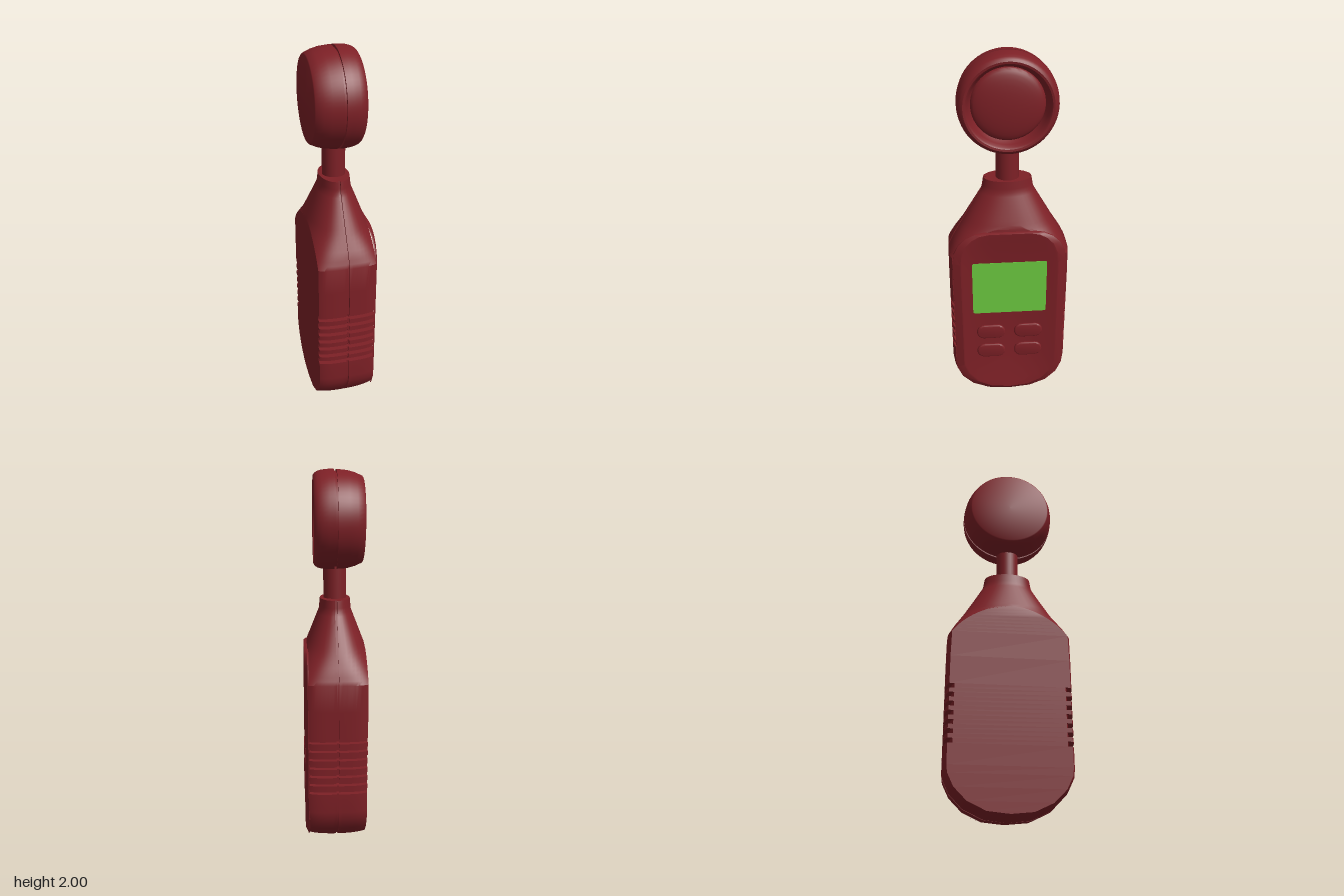
import * as THREE from 'three';
import { toCreasedNormals } from 'three/addons/utils/BufferGeometryUtils.js';

const SEAM = -0.007; // x of the split line between the two shells
const red = new THREE.MeshStandardMaterial({ color: 0x7d2026 });
const green = new THREE.MeshStandardMaterial({ color: 0x6cc940 });

// Piecewise linear lookup in a list of [key, value]
function lookup(table, t) {
  for (let i = 1; i < table.length; i++) {
    const [k0, v0] = table[i - 1], [k1, v1] = table[i];
    if (t <= k1) return v0 + (v1 - v0) * Math.max(0, (t - k0) / (k1 - k0));
  }
  return table[table.length - 1][1];
}

// Skin a stack of equal-length closed rings and close the last one
function loft(rings, crease) {
  const n = rings[0].length, pos = [], idx = [];
  rings.forEach(r => r.forEach(p => pos.push(...p)));
  for (let j = 0; j + 1 < rings.length; j++) {
    for (let i = 0; i < n; i++) {
      const a = j * n + i, b = j * n + (i + 1) % n;
      idx.push(a, a + n, b, b, a + n, b + n);
    }
  }
  const last = rings[rings.length - 1], base = pos.length / 3 - n;
  pos.push(...[0, 1, 2].map(k => last.reduce((s, p) => s + p[k], 0) / n));
  for (let i = 0; i < n; i++) idx.push(base + n, base + (i + 1) % n, base + i);
  const g = new THREE.BufferGeometry();
  g.setAttribute('position', new THREE.Float32BufferAttribute(pos, 3));
  g.setIndex(idx);
  return toCreasedNormals(g, crease);
}

function add(group, name, geometry, material = red) {
  const mesh = new THREE.Mesh(geometry, material);
  mesh.name = name;
  group.add(mesh);
  return mesh;
}

// Horizontal body section: a superellipse cut flat at front and back, notched at the seam
function bodyRing(y, halfWidth) {
  const b = lookup([[0.93, 0.23], [1.09, 0.16], [1.28, 0.086], [1.34, 0.08]], y);
  const p = lookup([[0.93, 4], [1.09, 2.5], [1.3, 2]], y);
  const n = 10, g = 0.006, side = [];
  const z = s => halfWidth * Math.pow(Math.max(0, 1 - Math.pow(Math.abs(s) / b, p)), 1 / p);
  const lift = s => y + 0.015 * (s / 0.156) ** 2 * Math.max(0, 1 - y / 0.2);
  const put = (s, inset = 0) => side.push([SEAM + s, lift(s), Math.max(0, z(s) - inset)]);
  const front = Math.min(b, 0.152), back = Math.min(b, 0.156);
  for (let k = 0; k <= n; k++) put(Math.max(g, front * Math.cos(k / n * Math.PI / 2)));
  put(g, 0.012);
  put(-g, 0.012);
  for (let k = n; k >= 0; k--) put(-Math.max(g, back * Math.cos(k / n * Math.PI / 2)));
  return [...side, ...side.slice().reverse().map(([x, h, d]) => [x, h, -d])];
}

function bodyGeometry() {
  const levels = [[0, 0], [0.012, 0.12], [0.06, 0.22], [0.13, 0.288], [0.2, 0.321], [0.24, 0.326]];
  // Grip notches
  for (let i = 0; i < 7; i++) {
    const y = 0.345 + i * 0.047, h = 0.024, w = 0.326, d = 0.027;
    levels.push([y, w], [y, w - d], [y + h, w - d], [y + h, w]);
  }
  levels.push([0.8, 0.326]);
  // Tapering shoulder
  const shoulder = [[0.94, 0.325], [1, 0.297], [1.28, 0.137], [1.34, 0.127]];
  for (let k = 0; k <= 20; k++) {
    const y = 0.94 + k * 0.02;
    levels.push([y, lookup(shoulder, y)]);
  }
  return loft(levels.map(([y, w]) => bodyRing(y, w)), 0.5);
}

// Arched face outline at depth x
function faceRing(x, w, top, bottom) {
  const half = [
    ...[[0, 0], [0.4, 0.012], [0.7, 0.05], [0.9, 0.11], [1, 0.18]].map(([f, d]) => [x, bottom + d, f * w]),
    ...[[1, 0.18], [0.97, 0.12], [0.89, 0.07], [0.76, 0.032], [0.6, 0.009], [0.42, 0]].map(([f, d]) => [x, top - d, f * w]),
  ];
  return [...half, ...half.slice().reverse().map(([a, h, d]) => [a, h, -d])];
}

// Rounded plate facing +x
function plate(w, h, r, depth, bevel) {
  const s = new THREE.Shape(), a = w / 2 - bevel, b = h / 2 - bevel, q = Math.PI / 2;
  s.absarc(a - r, b - r, r, 0, q);
  s.absarc(r - a, b - r, r, q, 2 * q);
  s.absarc(r - a, r - b, r, 2 * q, 3 * q);
  s.absarc(a - r, r - b, r, 3 * q, 4 * q);
  const g = new THREE.ExtrudeGeometry(s, {
    depth, bevelEnabled: bevel > 0, bevelSize: bevel, bevelThickness: bevel, bevelSegments: 3, curveSegments: 8,
  });
  return toCreasedNormals(g.rotateY(Math.PI / 2), 0.6);
}

// Sensor head: turned profile of [radius, x], with a dished front holding a dome
function headGeometry() {
  const profile = [
    [0, -0.15], [0.216, -0.15], [0.222, -0.146], [0.238, -0.11], [0.249, -0.07], [0.255, -0.013],
    [0.243, -0.013], [0.243, -0.001], [0.255, -0.001], [0.255, 0.03], [0.251, 0.065], [0.244, 0.087],
    [0.235, 0.1], [0.225, 0.106], [0.214, 0.104], [0.206, 0.096], [0.2, 0.07], [0.186, 0.045],
  ];
  for (let k = 0; k <= 8; k++) {
    const a = k / 8 * Math.PI / 2;
    profile.push([0.184 * Math.cos(a), 0.05 + 0.035 * Math.sin(a)]);
  }
  const g = new THREE.LatheGeometry(profile.map(([r, x]) => new THREE.Vector2(Math.max(0, r), x)), 64);
  return toCreasedNormals(g.rotateZ(-Math.PI / 2), 0.6);
}

export function createModel() {
  const model = new THREE.Group();
  model.name = 'handheldMeter';

  add(model, 'body', bodyGeometry());

  // Raised rim with a sunken control panel
  add(model, 'facePanel', loft([
    faceRing(0.14, 0.306, 1.087, 0.014),
    faceRing(0.147, 0.305, 1.086, 0.015),
    faceRing(0.162, 0.264, 1.082, 0.038),
    faceRing(0.162, 0.256, 1.076, 0.044),
    faceRing(0.154, 0.228, 1.038, 0.074),
  ], 0.35));

  const screen = add(model, 'screen', plate(0.405, 0.325, 0.012, 0.01, 0), green);
  screen.position.set(0.1455, 0.742, 0);

  // Four oval buttons
  for (const y of [0.45, 0.317]) {
    for (const z of [-0.105, 0.105]) {
      const button = add(model, 'button', plate(0.16, 0.088, 0.036, 0.008, 0.008));
      button.position.set(0.15, y, z);
    }
  }

  const neck = add(model, 'neck', new THREE.CylinderGeometry(0.061, 0.061, 0.24, 32));
  neck.position.set(SEAM, 1.42, 0);

  const head = add(model, 'sensorHead', headGeometry());
  head.position.set(0, 1.745, 0);

  return model;
}
